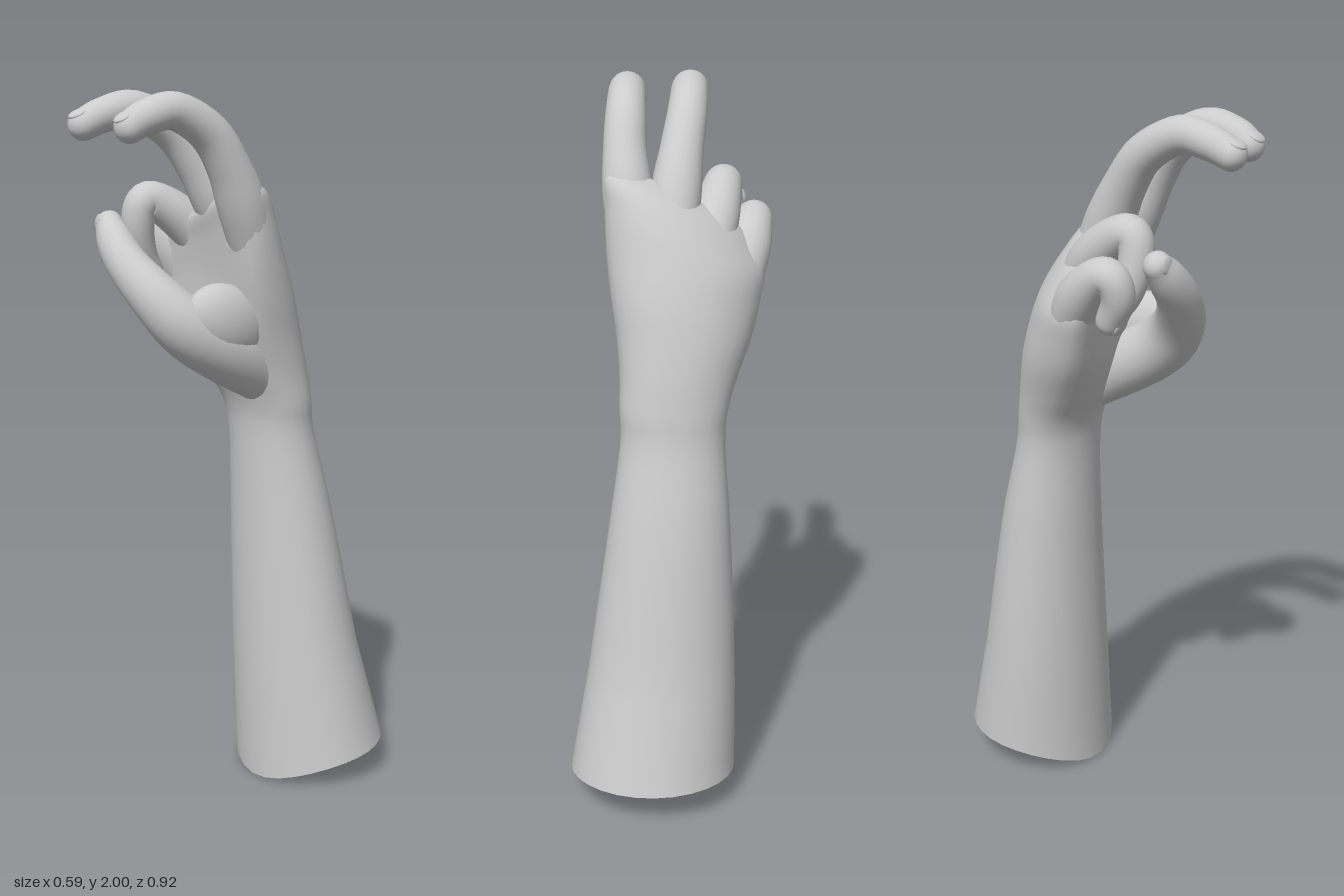
import * as THREE from 'three';

const SIDES = 28;
const skinMat = new THREE.MeshStandardMaterial({ color: 0xcccccc, roughness: 0.8, side: THREE.DoubleSide });

// Smoothly fills in the stations between a few key cross-sections
function resample(keys, steps) {
  const size = keys[0].length;
  const curve = new THREE.CubicInterpolant(keys.map((_, i) => i), keys.flat(), size, new Array(size));
  const last = keys.length - 1;
  const count = last * steps;
  return Array.from({ length: count + 1 }, (_, i) => [...curve.evaluate((i / count) * last)]);
}

// Skins rows of ring points into one smooth closed-around surface
function skin(rows) {
  const index = [];
  for (let i = 0; i < rows.length - 1; i++) {
    for (let j = 0; j < SIDES; j++) {
      const k = (j + 1) % SIDES;
      const a = i * SIDES + j, b = i * SIDES + k;
      index.push(a, b, a + SIDES, b, b + SIDES, a + SIDES);
    }
  }
  const geo = new THREE.BufferGeometry();
  geo.setAttribute('position', new THREE.Float32BufferAttribute(rows.flat(2), 3));
  geo.setIndex(index);
  geo.computeVertexNormals();
  return geo;
}

function addMesh(group, name, geo) {
  const mesh = new THREE.Mesh(geo, skinMat);
  mesh.name = name;
  group.add(mesh);
}

// Forearm and palm: level rings given by their extents
// [y, xMin, xMax, zBack, zFront, skew (z per x), arch (z per x squared), slope (y per x), roundness]
function armGeometry() {
  const keys = [
    [0.00, -0.180, 0.292, -0.46, -0.04, 0, 0, 0, 1],
    [0.40, -0.180, 0.235, -0.385, -0.04, 0, 0, 0, 1],
    [0.80, -0.165, 0.175, -0.312, -0.04, 0, 0, 0, 1],
    [1.03, -0.150, 0.142, -0.257, -0.035, 0, 0, 0, 1],
    [1.13, -0.160, 0.143, -0.243, -0.02, -0.02, 0.1, 0, 0.96],
    [1.22, -0.190, 0.142, -0.230, 0.02, -0.07, 0.5, 0, 0.92],
    [1.32, -0.230, 0.150, -0.210, 0.055, -0.10, 0.9, 0.02, 0.88],
    [1.42, -0.254, 0.165, -0.185, 0.065, -0.11, 1.2, 0.07, 0.86],
    [1.52, -0.268, 0.175, -0.150, 0.07, -0.10, 1.3, 0.16, 0.86],
    [1.61, -0.245, 0.177, -0.108, 0.08, -0.08, 1.2, 0.32, 0.88],
    [1.68, -0.190, 0.168, -0.055, 0.09, -0.05, 0.8, 0.4, 0.92],
    [1.715, -0.02, 0.05, 0.01, 0.05, 0, 0, 0.4, 1],
  ];
  const bend = (v, p) => Math.sign(v) * Math.pow(Math.abs(v), p);
  return skin(resample(keys, 5).map(([y, x0, x1, z0, z1, skew, arch, slope, p]) =>
    Array.from({ length: SIDES }, (_, j) => {
      const t = (j / SIDES) * Math.PI * 2;
      const dx = bend(Math.cos(t), p) * (x1 - x0) / 2;
      const x = (x0 + x1) / 2 + dx;
      const z = (z0 + z1) / 2 - bend(Math.sin(t), p) * (z1 - z0) / 2 + skew * dx + arch * dx * dx;
      // the open rim rises toward the back of the arm
      const rim = 0.1 * (1 - Math.exp(Math.min(0, z + 0.04) * 8));
      return [x, y + slope * x + rim * Math.max(0, 1 - y / 0.4), z];
    })));
}

// Digit: round rings [x, y, z, radius] along a bent path, with a domed tip and a nail
function addDigit(group, name, keys, side) {
  const stations = resample(keys, 5);
  const centers = stations.map(([x, y, z]) => new THREE.Vector3(x, y, z));
  const frame = (i) => {
    const t = centers[Math.min(i + 1, centers.length - 1)].clone()
      .sub(centers[Math.max(i - 1, 0)]).normalize();
    const u = side.clone().addScaledVector(t, -side.dot(t)).normalize();
    return { t, u, v: t.clone().cross(u) };
  };
  const ring = (c, { u, v }, r) => Array.from({ length: SIDES }, (_, j) => {
    const a = (j / SIDES) * Math.PI * 2;
    return c.clone().addScaledVector(u, Math.cos(a) * r)
      .addScaledVector(v, Math.sin(a) * r * 0.96).toArray();
  });
  const rows = stations.map((s, i) => ring(centers[i], frame(i), s[3]));
  const end = centers.length - 1, tip = centers[end], r = stations[end][3], f = frame(end);
  for (let k = 1; k <= 6; k++) {
    const a = (k / 6) * Math.PI / 2;
    rows.push(ring(tip.clone().addScaledVector(f.t, r * 0.9 * Math.sin(a)), f, r * Math.cos(a)));
  }
  addMesh(group, name, skin(rows));

  // nail: a flattened dome lying on the back of the tip
  const nail = new THREE.SphereGeometry(1, 16, 10);
  nail.scale(r * 0.66, r * 0.22, r * 0.65);
  nail.applyMatrix4(new THREE.Matrix4().makeBasis(f.u, f.v, f.t));
  const p = tip.clone().addScaledVector(f.v, r * 0.76);
  addMesh(group, name + 'Nail', nail.translate(p.x, p.y, p.z));
}

export function createModel() {
  const model = new THREE.Group();
  model.name = 'forearmAndHand';
  addMesh(model, 'forearmAndPalm', armGeometry());

  const across = new THREE.Vector3(1, 0, 0);

  // Two raised fingers, hooked forward
  addDigit(model, 'indexFinger', [
    [0.100, 1.54, -0.01, 0.060], [0.113, 1.69, 0.042, 0.070], [0.120, 1.80, 0.093, 0.061],
    [0.117, 1.89, 0.155, 0.057], [0.112, 1.945, 0.255, 0.052], [0.108, 1.930, 0.34, 0.048],
    [0.098, 1.905, 0.385, 0.043],
  ], across);
  addDigit(model, 'middleFinger', [
    [-0.005, 1.54, -0.04, 0.060], [-0.018, 1.69, 0.030, 0.070], [-0.035, 1.80, 0.090, 0.061],
    [-0.053, 1.89, 0.16, 0.056], [-0.065, 1.947, 0.27, 0.052], [-0.073, 1.933, 0.36, 0.048],
    [-0.077, 1.908, 0.42, 0.043],
  ], across);

  // Two fingers curled into the palm
  addDigit(model, 'ringFinger', [
    [-0.10, 1.50, -0.03, 0.060], [-0.128, 1.62, 0.05, 0.066], [-0.153, 1.695, 0.15, 0.055],
    [-0.160, 1.685, 0.192, 0.050], [-0.170, 1.62, 0.198, 0.048], [-0.183, 1.55, 0.18, 0.046],
    [-0.190, 1.50, 0.15, 0.041],
  ], across);
  addDigit(model, 'littleFinger', [
    [-0.185, 1.42, 0.0, 0.060], [-0.216, 1.53, 0.06, 0.067], [-0.240, 1.598, 0.135, 0.054],
    [-0.242, 1.59, 0.175, 0.049], [-0.232, 1.54, 0.183, 0.046], [-0.220, 1.48, 0.155, 0.042],
  ], across);

  // Thumb with its heavy base, reaching across the palm
  addDigit(model, 'thumb', [
    [0.04, 1.15, -0.12, 0.050], [0.055, 1.275, 0.035, 0.090], [0.045, 1.36, 0.17, 0.087],
    [0.0, 1.44, 0.24, 0.074], [-0.085, 1.527, 0.28, 0.060], [-0.15, 1.59, 0.283, 0.053],
    [-0.195, 1.635, 0.275, 0.039],
  ], new THREE.Vector3(-1, -1, 0).normalize());

  // Fold of skin between thumb and index finger
  const web = new THREE.SphereGeometry(1, 24, 16);
  web.scale(0.066, 0.1, 0.13).rotateX(-0.5);
  addMesh(model, 'thumbWeb', web.translate(0.088, 1.38, 0.08));

  return model;
}
